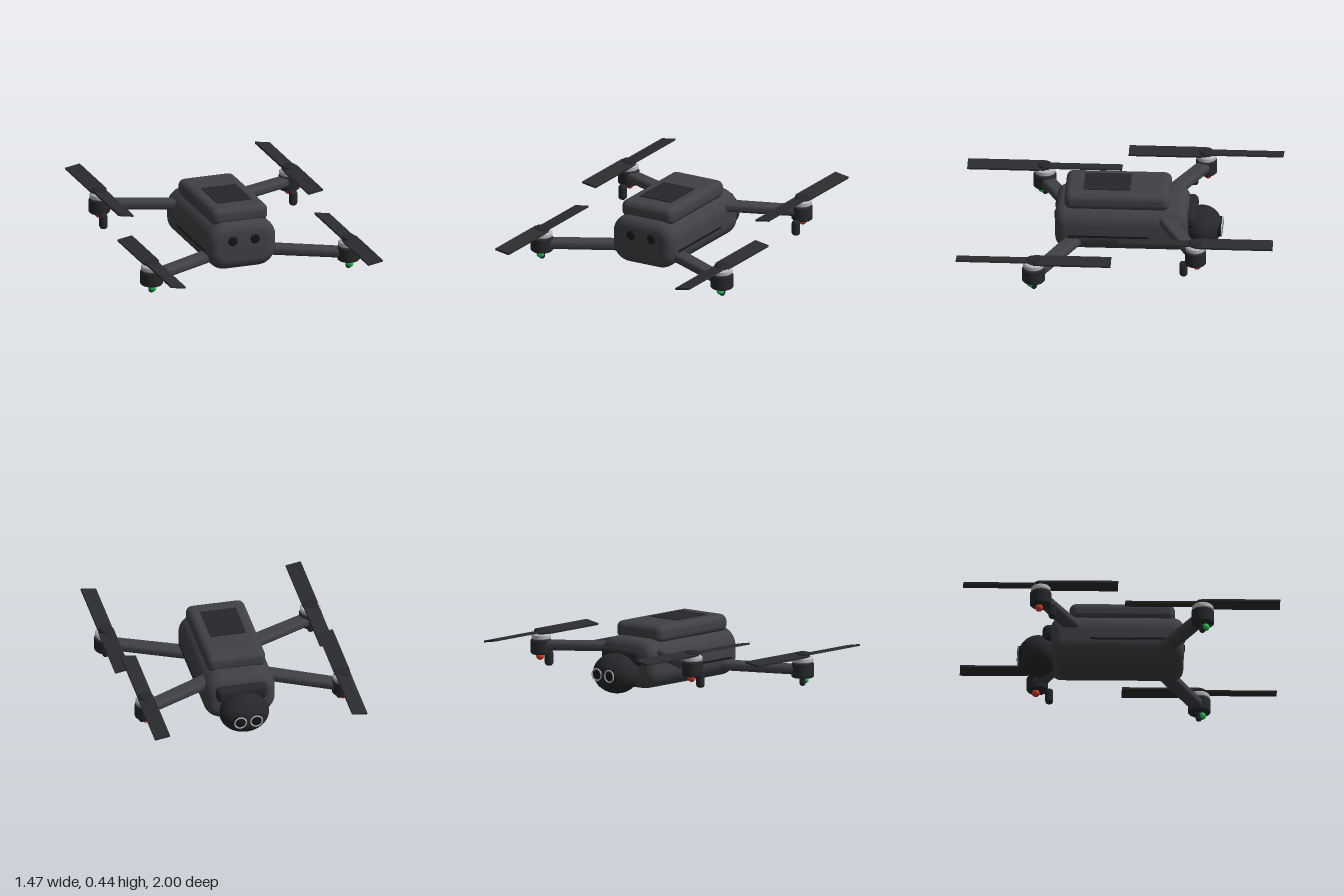
import * as THREE from 'three';
import { RoundedBoxGeometry } from 'three/addons/geometries/RoundedBoxGeometry.js';
import { toCreasedNormals } from 'three/addons/utils/BufferGeometryUtils.js';

const paint = (color) => new THREE.MeshStandardMaterial({ color });
const shell = paint(0x3f4145), dark = paint(0x25272a), black = paint(0x151618);
const bladeMat = paint(0x2b2c2f), silver = paint(0xb4b6b9);
const green = paint(0x22c455), red = paint(0xd93a28);

function add(parent, name, geometry, material, x = 0, y = 0, z = 0) {
  const mesh = new THREE.Mesh(geometry, material);
  mesh.name = name;
  mesh.position.set(x, y, z);
  parent.add(mesh);
  return mesh;
}

const rbox = (w, h, d, r) => new RoundedBoxGeometry(w, h, d, 5, r);

// Drum with softened rims, standing between y0 and y1
function drum(r, y0, y1, b = 0.008) {
  const profile = [[0, y0], [r - b, y0], [r, y0 + b], [r, y1 - b], [r - b, y1], [0, y1]];
  const g = new THREE.LatheGeometry(profile.map(([x, y]) => new THREE.Vector2(x, y)), 32);
  return toCreasedNormals(g, 0.6);
}

// Fuselage: rounded section swept along z with bevelled ends
function fuselageGeometry() {
  const w = 0.16, h = 0.085, r = 0.05, bevel = 0.07, length = 0.84;
  const s = new THREE.Shape();
  s.moveTo(w, -h + r);
  s.absarc(w - r, h - r, r, 0, Math.PI / 2);
  s.absarc(-w + r, h - r, r, Math.PI / 2, Math.PI);
  s.absarc(-w + r, -h + r, r, Math.PI, Math.PI * 1.5);
  s.absarc(w - r, -h + r, r, Math.PI * 1.5, Math.PI * 2);
  const g = new THREE.ExtrudeGeometry(s, {
    depth: length - 2 * bevel, bevelSize: bevel, bevelThickness: bevel,
    bevelSegments: 8, curveSegments: 10,
  });
  g.translate(0, 0, -length / 2 + bevel);
  return toCreasedNormals(g, 0.7);
}

// Folding arm, slightly narrower towards the motor
function addArm(parent, from, to) {
  const length = from.distanceTo(to);
  const g = rbox(0.105, 0.06, length, 0.024);
  const p = g.attributes.position;
  for (let i = 0; i < p.count; i++) p.setX(i, p.getX(i) * (0.95 - 0.12 * p.getZ(i) / length));
  const arm = add(parent, 'arm', g, shell);
  arm.position.copy(from).lerp(to, 0.5);
  arm.lookAt(to);
}

// Motor with two oppositely pitched blades; y is the underside of the pod
function addMotor(parent, side, x, y, z, r) {
  const motor = new THREE.Group();
  motor.name = 'motor';
  motor.position.set(side * x, y, z);
  parent.add(motor);
  add(motor, 'motorPod', drum(r, 0, 0.096), dark);
  add(motor, 'motorRing', drum(r - 0.005, 0.094, 0.13), silver);
  add(motor, 'propellerHub', drum(0.046, 0.128, 0.16), dark);
  for (const end of [-1, 1]) {
    const blade = add(motor, 'propellerBlade', new THREE.BoxGeometry(0.1, 0.012, 0.489), bladeMat,
      0, 0.142, end * 0.2445);
    blade.rotation.z = side * end * 0.17;
  }
  return motor;
}

export function createModel() {
  const drone = new THREE.Group();
  drone.name = 'quadcopter';

  // Body
  add(drone, 'fuselage', fuselageGeometry(), shell, 0, 0.19, -0.018);
  add(drone, 'battery', rbox(0.38, 0.115, 0.665, 0.045), shell, 0, 0.373, 0.012);
  add(drone, 'batteryPanel', new THREE.BoxGeometry(0.23, 0.012, 0.295), dark, 0, 0.43, 0.078);

  for (const side of [-1, 1]) {
    // Front sensors and side seams
    const eye = add(drone, 'frontSensor', drum(0.031, 0, 0.03), black, side * 0.075, 0.232, 0.38);
    eye.rotation.x = Math.PI / 2;
    add(drone, 'sideSeam', new THREE.BoxGeometry(0.012, 0.012, 0.51), black, side * 0.228, 0.157, 0.065);

    // Front arm, motor, foot and lamp
    addArm(drone, new THREE.Vector3(side * 0.15, 0.113, 0.26), new THREE.Vector3(side * 0.665, 0.105, 0.508));
    const front = addMotor(drone, side, 0.663, 0.056, 0.511, 0.072);
    add(front, 'frontFoot', new THREE.CapsuleGeometry(0.02, 0.04, 6, 16), dark, 0, -0.016, -0.002);
    add(front, 'frontLamp', new THREE.SphereGeometry(0.024, 20, 14), green, 0, -0.018, 0.019);

    // Rear arm, motor, leg and lamp
    addArm(drone, new THREE.Vector3(side * 0.15, 0.264, -0.285), new THREE.Vector3(side * 0.638, 0.247, -0.511));
    const rear = addMotor(drone, side, 0.638, 0.19, -0.511, 0.067);
    add(rear, 'rearLeg', rbox(0.05, 0.1, 0.05, 0.02), dark, 0, -0.035, 0.075);
    add(rear, 'rearLamp', new THREE.SphereGeometry(0.025, 20, 14), red, 0, -0.013, -0.01);
  }

  // Camera ball under its hood
  add(drone, 'cameraHood', rbox(0.33, 0.1, 0.13, 0.035), dark, 0, 0.24, -0.425);
  const ball = add(drone, 'cameraBall', new THREE.SphereGeometry(0.127, 40, 28), dark, 0, 0.137, -0.518);
  ball.scale.x = 1.25;

  // Twin lenses facing back
  for (const side of [-1, 1]) {
    const lens = new THREE.Group();
    lens.name = 'lens';
    lens.position.set(side * 0.052, 0.137, -0.61);
    lens.rotation.x = -Math.PI / 2;
    drone.add(lens);
    add(lens, 'lensBarrel', drum(0.042, 0, 0.034, 0.004), black);
    const rim = add(lens, 'lensRim', new THREE.TorusGeometry(0.037, 0.005, 8, 32), silver, 0, 0.034, 0);
    rim.rotation.x = Math.PI / 2;
    const glass = add(lens, 'lensGlass', new THREE.SphereGeometry(0.03, 20, 12), black, 0, 0.032, 0);
    glass.scale.y = 0.3;
  }
  return drone;
}
